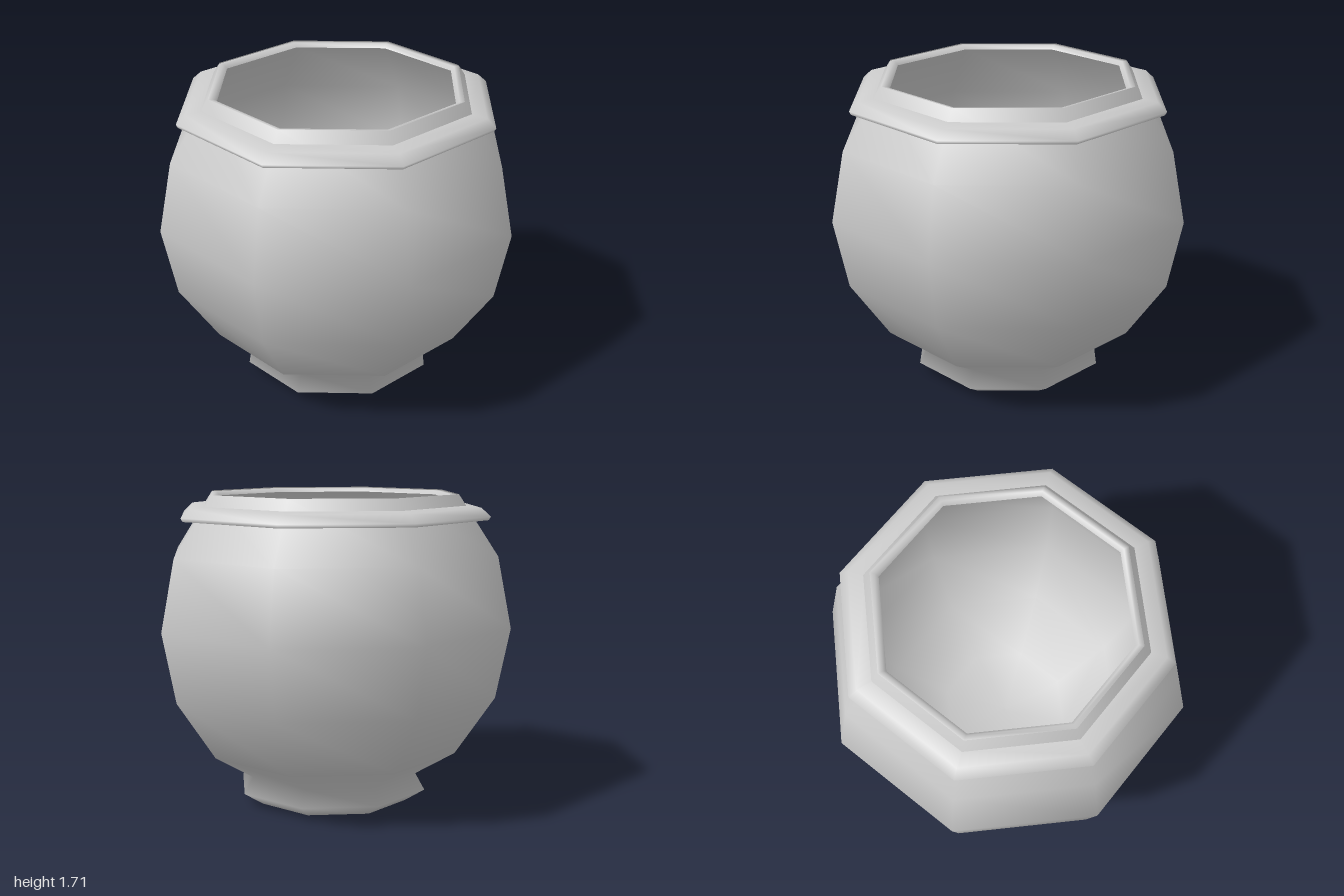
import * as THREE from 'three';

const SIDES = 8;

export function createModel() {
  const pot = new THREE.Group();
  pot.name = 'pot';
  const material = new THREE.MeshStandardMaterial({ color: 0xcccccc, side: THREE.DoubleSide });

  // Eight-sided turned part with a smooth profile; separate parts meet in a crease
  function turn(name, profile) {
    const points = profile.map(([r, y]) => new THREE.Vector2(r, y));
    const mesh = new THREE.Mesh(new THREE.LatheGeometry(points, SIDES), material);
    mesh.name = name;
    pot.add(mesh);
  }

  // Spherical profile about (0, 1), upward in steps of an eighth of a half turn
  function bowl(radius, first, last) {
    const points = [];
    for (let i = first; i <= last; i++) {
      const a = (i * Math.PI) / 8;
      points.push([radius * Math.sin(a), 1 - radius * Math.cos(a)]);
    }
    return points;
  }

  // Recessed underside, foot and round bowl in one smooth sweep
  turn('footAndBowl', [
    [0, 0.1], [0.01, 0.1], [0.37, 0.08], [0.43, 0],
    [0.54, 0.07], [0.487, 0.16], ...bowl(1, 2, 6),
  ]);

  // Overhanging collar around the mouth
  turn('collarUnderside', [[0.77, 1.573], [0.87, 1.573]]);
  turn('collar', [[0.87, 1.573], [0.88, 1.592], [0.83, 1.637], [0.745, 1.647]]);

  // Raised lip, rounded over to the mouth
  turn('lip', [[0.745, 1.647], [0.707, 1.702], [0.68, 1.702], [0.662, 1.68]]);

  // Inner wall and floor
  turn('bowlInside', [
    [0.662, 1.68], ...bowl(0.96, 2, 5).reverse(), [0.37, 0.13], [0.01, 0.12], [0, 0.12],
  ]);

  return pot;
}
